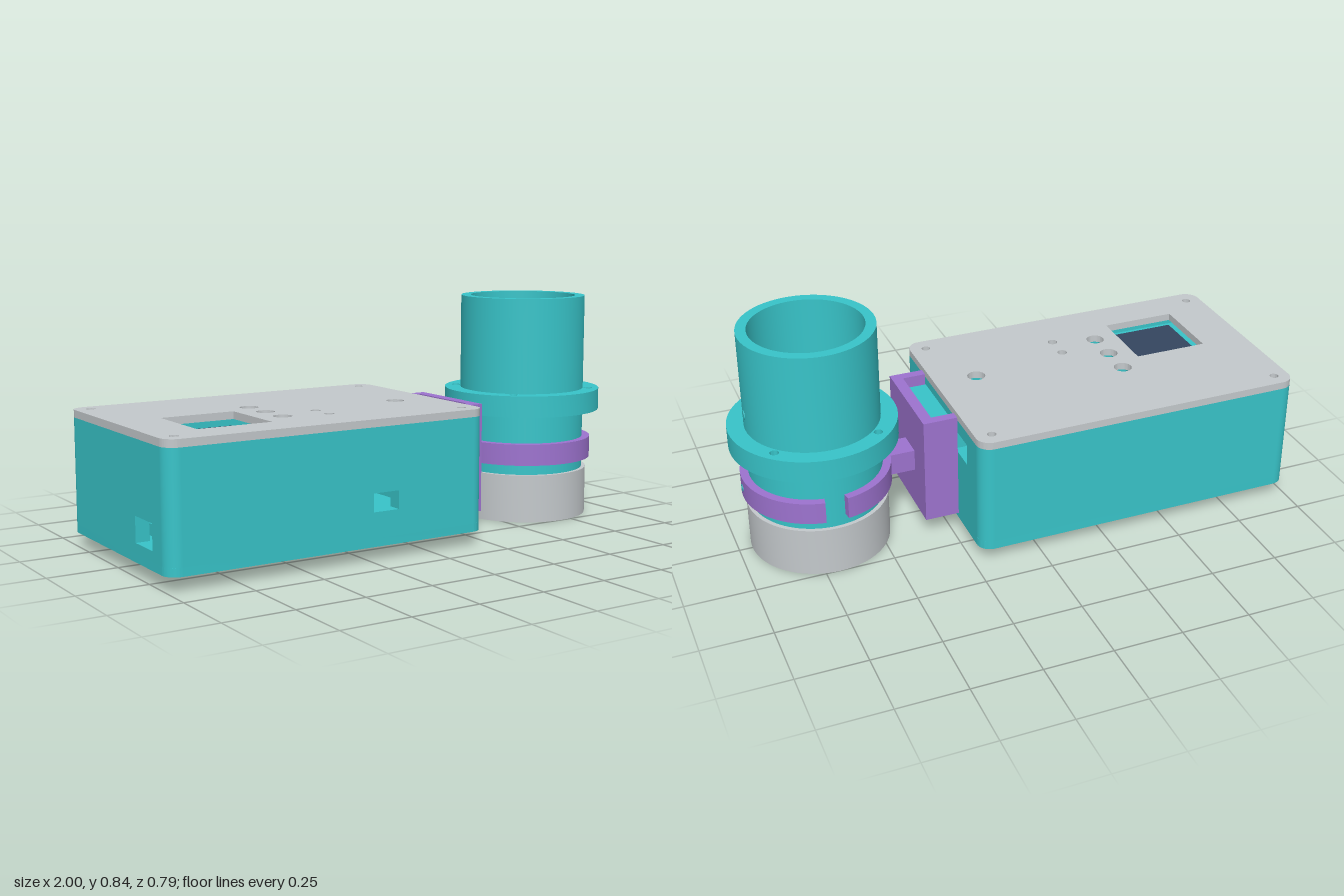
import * as THREE from 'three';
import { toCreasedNormals } from 'three/addons/utils/BufferGeometryUtils.js';

const paint = (name, color) => {
  const m = new THREE.MeshStandardMaterial({ color });
  m.name = name;
  return m;
};

// Circle path used for holes and discs
const circle = (x, y, r, Type = THREE.Path) => {
  const p = new Type();
  p.absarc(x, y, r, 0, Math.PI * 2, false);
  return p;
};

const rect = (x0, y0, x1, y1, Type = THREE.Path) => {
  const p = new Type();
  p.moveTo(x0, y0).lineTo(x1, y0).lineTo(x1, y1).lineTo(x0, y1).closePath();
  return p;
};

const roundRect = (x0, y0, x1, y1, r) => {
  const s = new THREE.Shape();
  s.absarc(x1 - r, y0 + r, r, -Math.PI / 2, 0, false);
  s.absarc(x1 - r, y1 - r, r, 0, Math.PI / 2, false);
  s.absarc(x0 + r, y1 - r, r, Math.PI / 2, Math.PI, false);
  s.absarc(x0 + r, y0 + r, r, Math.PI, Math.PI * 1.5, false);
  s.closePath();
  return s;
};

const extrude = (shape, depth, segments = 12) =>
  new THREE.ExtrudeGeometry(shape, { depth, bevelEnabled: false, curveSegments: segments });

// Horizontal slab from a plan drawn in (x, z)
const slab = (shape, y0, y1, segments = 12) =>
  toCreasedNormals(extrude(shape, y1 - y0, segments).rotateX(Math.PI / 2).translate(0, y1, 0), 0.5);

// Hollow cylinder
const sleeve = (rIn, rOut, y0, y1) => toCreasedNormals(new THREE.LatheGeometry(
  [[rIn, y0], [rOut, y0], [rOut, y1], [rIn, y1], [rIn, y0]].map(([x, y]) => new THREE.Vector2(x, y)), 64), 0.5);

export function createModel() {
  const teal = paint('teal', 0x38c4c9);
  const grey = paint('light grey', 0xc4c9cc);
  const purple = paint('purple', 0x9d73cf);
  const gold = paint('gold', 0xcfae45);
  const navy = paint('navy', 0x34465f);

  const model = new THREE.Group();
  model.name = 'handheldInstrument';
  const add = (parent, name, geometry, material) => {
    const mesh = new THREE.Mesh(geometry, material);
    mesh.name = name;
    parent.add(mesh);
    return mesh;
  };

  // Hollow case: floor, four walls with port openings, round corner posts
  const X0 = -1, X1 = 0.225, Z = 0.395, Y0 = 0.05, Y1 = 0.46, R = 0.05;
  const box = new THREE.Group();
  box.name = 'case';
  model.add(box);
  add(box, 'floor', slab(roundRect(X0, -Z, X1, Z, R), Y0, Y0 + 0.03), teal);

  const wall = (a0, a1, hole) => {
    const s = rect(a0, Y0, a1, Y1, THREE.Shape);
    if (hole) s.holes.push(rect(...hole));
    return extrude(s, R);
  };
  add(box, 'frontWall', wall(X0 + R, X1 - R, [-0.24, 0.17, -0.14, 0.235]).translate(0, 0, Z - R), teal);
  add(box, 'backWall', wall(X0 + R, X1 - R).translate(0, 0, -Z), teal);
  // End walls are drawn in (-z, y) and turned to face +x
  add(box, 'leftWall', wall(-Z + R, Z - R, [0.14, 0.33, 0.257, 0.41])
    .rotateY(Math.PI / 2).translate(X1 - R, 0, 0), teal);
  add(box, 'rightWall', wall(-Z + R, Z - R, [-0.28, 0.115, -0.15, 0.205])
    .rotateY(Math.PI / 2).translate(X0, 0, 0), teal);
  for (const x of [X0 + R, X1 - R]) for (const z of [-Z + R, Z - R]) {
    add(box, 'cornerPost', new THREE.CylinderGeometry(R, R, Y1 - Y0, 32)
      .translate(x, (Y0 + Y1) / 2, z), teal);
  }

  // Connectors just inside the end openings
  add(box, 'sideConnector', new THREE.BoxGeometry(0.05, 0.045, 0.15).translate(0.15, 0.35, -0.2), grey);
  add(box, 'endConnector', new THREE.BoxGeometry(0.06, 0.04, 0.09).translate(-0.93, 0.16, 0.215), teal);

  // Lid with screen window, button holes and screw holes
  const lid = roundRect(X0, -Z, X1, Z, R);
  lid.holes.push(rect(-0.825, -0.02, -0.55, 0.255));
  const lidHoles = [
    [-0.46, -0.075, 0.033], [-0.46, 0.045, 0.033], [-0.46, 0.165, 0.033],
    [-0.3, 0.115, 0.018], [-0.3, 0.205, 0.018], [0.065, 0.065, 0.033],
  ];
  for (const x of [-0.943, 0.165]) for (const z of [-0.34, 0.335]) lidHoles.push([x, z, 0.016]);
  for (const h of lidHoles) lid.holes.push(circle(...h));
  add(box, 'lid', slab(lid, Y1, 0.487, 16), grey);

  // Display module below the window
  add(box, 'screenBoard', new THREE.BoxGeometry(0.33, 0.02, 0.33).translate(-0.69, 0.42, 0.118), teal);
  add(box, 'screen', new THREE.BoxGeometry(0.277, 0.008, 0.277).translate(-0.687, 0.434, 0.118), navy);

  // Bracket: open-topped pocket over the rail on the case
  const mount = new THREE.Group();
  mount.name = 'mount';
  model.add(mount);
  const pocket = new THREE.Shape();
  [[0.225, -0.165], [0.35, -0.165], [0.35, 0.21], [0.225, 0.21], [0.225, 0.175],
    [0.31, 0.175], [0.31, -0.13], [0.225, -0.13]]
    .forEach(([x, z], i) => (i ? pocket.lineTo(x, z) : pocket.moveTo(x, z)));
  add(mount, 'bracket', slab(pocket, 0.07, 0.47), purple);
  add(mount, 'bracketFloor', new THREE.BoxGeometry(0.09, 0.03, 0.31).translate(0.27, 0.086, 0.0225), purple);
  add(mount, 'rail', new THREE.BoxGeometry(0.082, 0.33, 0.295).translate(0.265, 0.265, 0.0225), teal);
  add(mount, 'arm', new THREE.BoxGeometry(0.105, 0.08, 0.1).translate(0.3975, 0.26, -0.005), purple);

  // Clamp ring, split at the back
  const clamp = new THREE.Shape();
  const gap = 0.15;
  clamp.absarc(0, 0, 0.266, -Math.PI / 2 + gap, Math.PI * 1.5 - gap, false);
  clamp.absarc(0, 0, 0.236, Math.PI * 1.5 - gap, -Math.PI / 2 + gap, true);
  clamp.closePath();

  // Optical tube assembly, built around its own axis
  const tube = new THREE.Group();
  tube.name = 'tubeAssembly';
  tube.position.x = 0.7;
  model.add(tube);
  add(tube, 'clampRing', slab(clamp, 0.22, 0.3, 64), purple);
  add(tube, 'tube', sleeve(0.2, 0.237, 0.06, 0.843), teal);
  add(tube, 'endCap', sleeve(0.195, 0.252, 0, 0.18), grey);
  add(tube, 'capLining', sleeve(0.19, 0.196, 0.06, 0.2), teal);
  add(tube, 'innerRing', sleeve(0.16, 0.201, 0.38, 0.43), gold);

  // Flange with four bolt holes
  const flange = circle(0, 0, 0.297, THREE.Shape);
  flange.holes.push(circle(0, 0, 0.236));
  for (const x of [-0.182, 0.182]) for (const z of [-0.182, 0.182]) flange.holes.push(circle(x, z, 0.016));
  add(tube, 'flange', slab(flange, 0.407, 0.487, 32), teal);

  // Set screws on the outer side
  for (const [r, y, size] of [[0.236, 0.547, 0.016], [0.236, 0.348, 0.016], [0.265, 0.258, 0.013]]) {
    add(tube, 'setScrew', new THREE.CylinderGeometry(size, size, 0.006, 24)
      .rotateZ(Math.PI / 2).translate(r, y, 0), teal);
  }
  return model;
}
